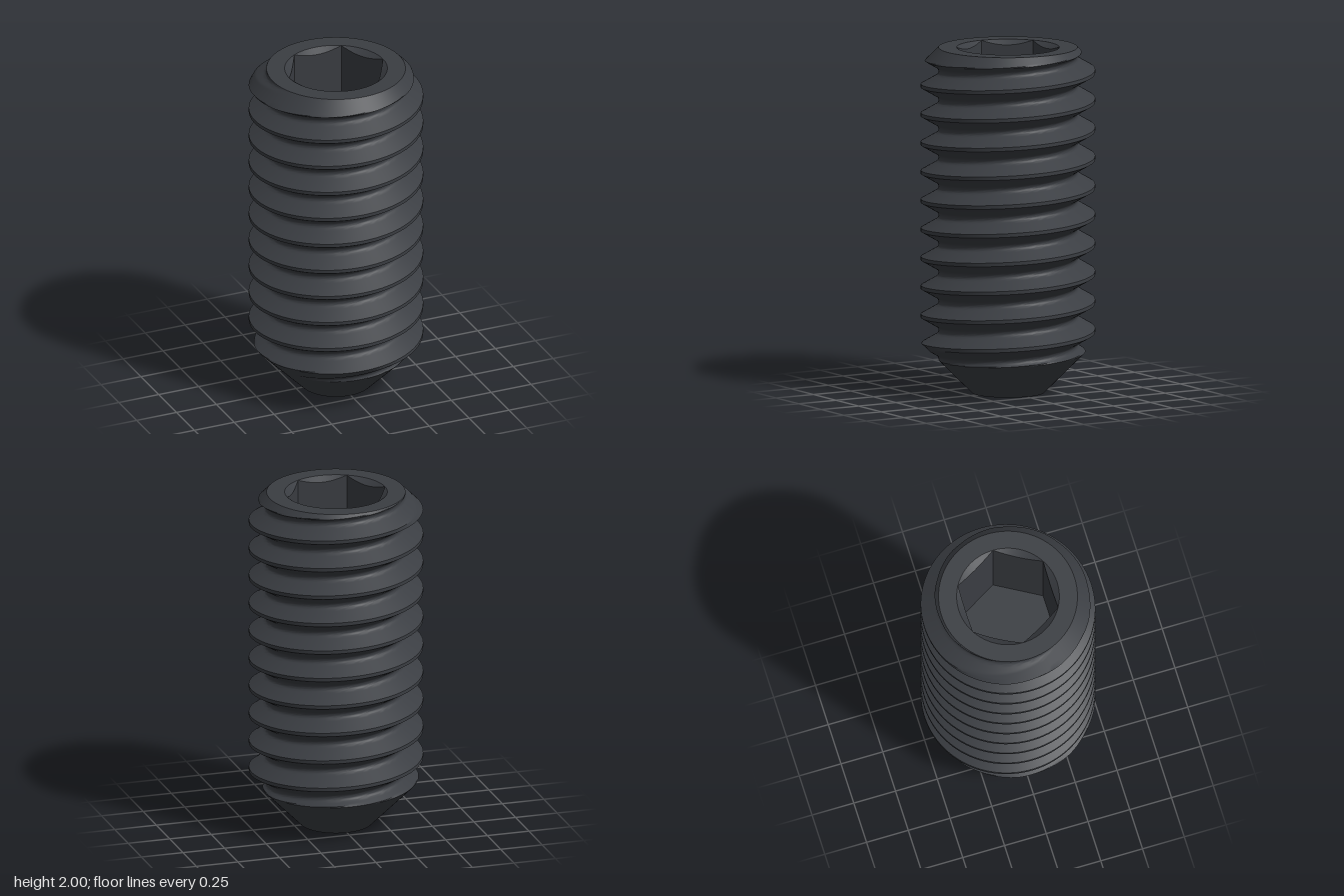
import * as THREE from 'three';
import { toCreasedNormals } from 'three/addons/utils/BufferGeometryUtils.js';

const SEG = 96, TAU = Math.PI * 2;
const LENGTH = 2, PITCH = 1 / 6;
const MAJOR = 0.5, MINOR = 0.398;        // thread crest and root radii
const CUP = 0.208, CUP_DEPTH = 0.12;     // hollow at the tip
const FLAT = 0.255, CORNER = FLAT / Math.cos(Math.PI / 6), FLOOR = 1.42; // hex socket

// Thread section: flat crest, 60 degree flanks, rounded root
const CREST = PITCH / 16;
const VEE = MAJOR - (PITCH / 2 - CREST) * Math.sqrt(3);
const ROOT = MINOR - VEE;

function threadRadius(y, theta) {
  let u = y / PITCH - theta / TAU;
  u -= Math.round(u);
  const d = Math.abs(u) * PITCH, e = PITCH / 2 - d;
  let r = MAJOR - Math.max(0, d - CREST) * Math.sqrt(3);
  if (e < ROOT * Math.sin(Math.PI / 3)) r = VEE + 2 * ROOT - Math.sqrt(ROOT * ROOT - e * e);
  // 45 degree chamfers at both ends
  return Math.min(r, MINOR + LENGTH - y, CUP + y);
}

// Heights of the section points within one pitch, crest at 0
function sectionHeights() {
  const half = [], steps = 8, arc = 4;
  const flankEnd = PITCH / 2 - ROOT * Math.sin(Math.PI / 3);
  for (let i = 0; i <= steps; i++) half.push(CREST + (flankEnd - CREST) * i / steps);
  for (let i = 1; i <= arc; i++) half.push(PITCH / 2 - ROOT * Math.sin(Math.PI / 3 * (1 - i / arc)));
  return [...half, ...half.slice(0, -1).reverse().map(h => PITCH - h)];
}

// Skin a stack of closed rings; each row maps an angle to [radius, height]
function skin(rows, crease) {
  const rings = rows.map(row => {
    const ring = [];
    for (let i = 0; i < SEG; i++) ring.push(row(i / SEG * TAU, i));
    return ring;
  });
  const point = (ring, i, turn) => {
    const t = (i % SEG) / SEG * TAU;
    const [r, y] = turn[i];
    return new THREE.Vector3(r * Math.cos(t), y, -r * Math.sin(t));
  };
  const pos = [];
  const tri = (a, b, c) => {
    const area = b.clone().sub(a).cross(c.clone().sub(a)).length();
    if (area > 1e-9) pos.push(...a.toArray(), ...b.toArray(), ...c.toArray());
  };
  rings.forEach((ring, j) => ring.push(rows[j](TAU, SEG)));
  for (let j = 0; j + 1 < rings.length; j++) {
    for (let i = 0; i < SEG; i++) {
      const a = point(j, i, rings[j]), b = point(j, i + 1, rings[j]);
      const c = point(j, i + 1, rings[j + 1]), d = point(j, i, rings[j + 1]);
      tri(a, b, c);
      tri(a, c, d);
    }
  }
  const geometry = new THREE.BufferGeometry();
  geometry.setAttribute('position', new THREE.Float32BufferAttribute(pos, 3));
  return toCreasedNormals(geometry, crease);
}

export function createModel() {
  const group = new THREE.Group();
  group.name = 'setScrew';
  const material = new THREE.MeshStandardMaterial({ color: 0x3a3d42 });
  const add = (name, rows, crease = 0.45) => {
    const mesh = new THREE.Mesh(skin(rows, crease), material);
    mesh.name = name;
    group.add(mesh);
  };
  const ring = (r, y) => () => [r, y];

  // Threaded shank with chamfered ends: section rows climb one pitch per turn
  const heights = sectionHeights();
  const rows = [];
  for (let k = -2; k <= LENGTH / PITCH; k++) {
    for (const h of heights) {
      rows.push(theta => {
        const y = THREE.MathUtils.clamp(k * PITCH + h + theta / TAU * PITCH, 0, LENGTH);
        return [threadRadius(y, theta), y];
      });
    }
  }
  add('threadedShank', rows);

  // Conical hollow in the tip
  add('cupPoint', [ring(0, CUP_DEPTH), ring(CUP, 0)]);

  // Flat annular end face
  add('topFace', [ring(MINOR, LENGTH), ring(CORNER, LENGTH)]);

  // Hex socket: countersunk rim, six walls, flat floor
  const side = Math.PI / 3;
  const hex = theta => FLAT / Math.cos((theta % side + side) % side - side / 2);
  const rim = theta => [hex(theta), LENGTH - (CORNER - hex(theta)) * 0.7];
  add('socketCountersink', [ring(CORNER, LENGTH), rim]);
  add('socketWalls', [rim, theta => [hex(theta), FLOOR]]);
  add('socketFloor', [theta => [hex(theta), FLOOR], ring(0, FLOOR)]);

  return group;
}
